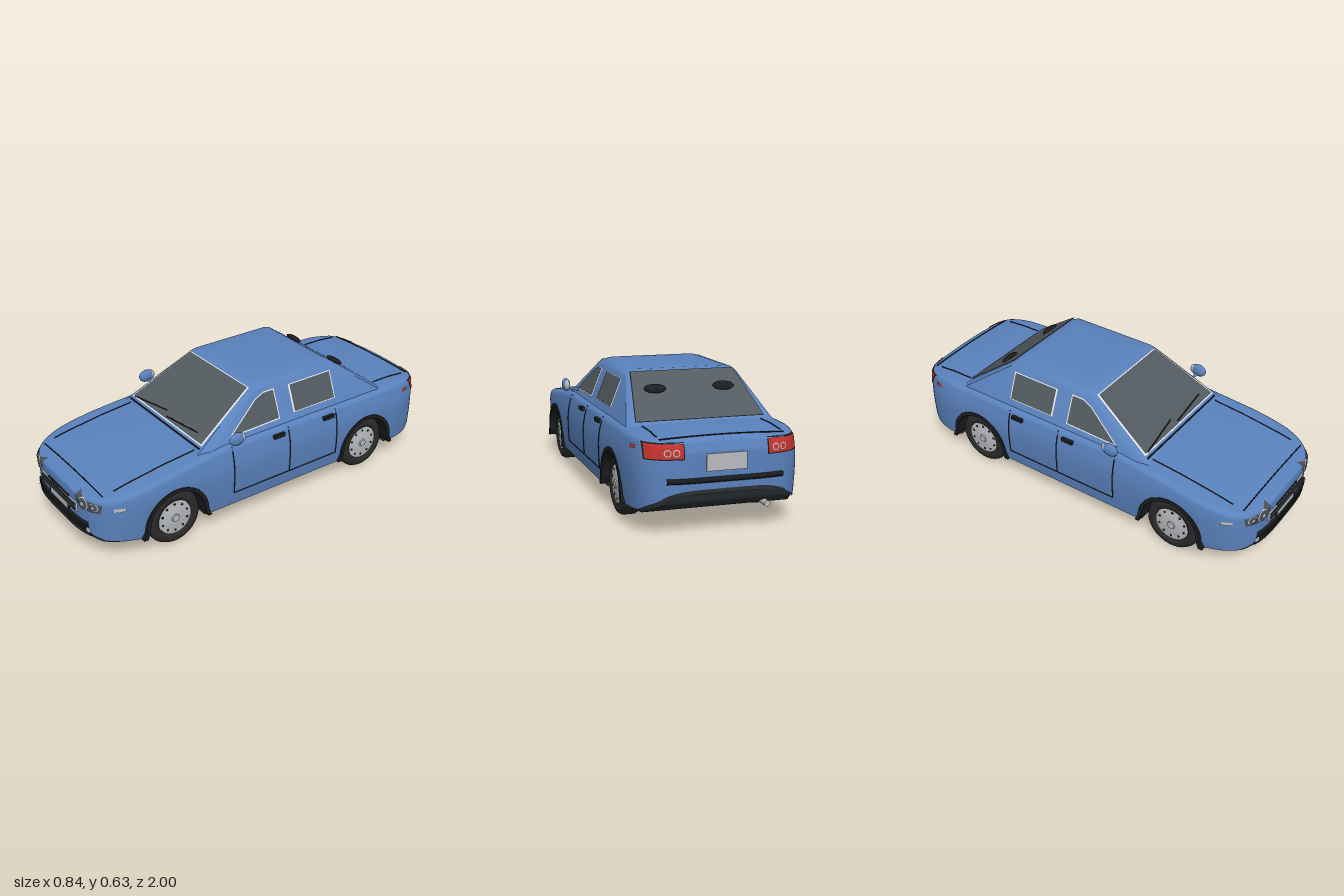
import * as THREE from 'three';
import { toCreasedNormals } from 'three/addons/utils/BufferGeometryUtils.js';

const mat = (name, color) => new THREE.MeshStandardMaterial({ name, color, side: THREE.DoubleSide });
const BODY = mat('blue paint', 0x5a82bd), GLASS = mat('tinted glass', 0x535b60), BLACK = mat('black trim', 0x1b1d1f),
  TYRE = mat('tyre rubber', 0x2b2b2b), UNDER = mat('underside', 0x2d3236), SILVER = mat('silver', 0xb9bcbf),
  WHITE = mat('white trim', 0xf0f0f0), RED = mat('red lens', 0xc8322c), LAMP = mat('lamp housing', 0x4a5055);

const WHEELS = [0.59, -0.57], AXLE = 0.14, ARCH = 0.168;

// Piecewise linear curve through [u, v] knots
function interp(k, u) {
  if (u <= k[0][0]) return k[0][1];
  for (let i = 1; i < k.length; i++)
    if (u <= k[i][0]) return k[i - 1][1] + (k[i][1] - k[i - 1][1]) * (u - k[i - 1][0]) / (k[i][0] - k[i - 1][0]);
  return k[k.length - 1][1];
}

// Body form: centre height, sill height, plan half-width and side bulge
const TOP = [[-0.99, 0.36], [-0.975, 0.405], [-0.93, 0.42], [-0.8, 0.43], [0.3, 0.43], [0.4, 0.42], [0.6, 0.4],
  [0.8, 0.37], [0.92, 0.345], [0.97, 0.335], [0.985, 0.328], [0.99, 0.31]];
const SILL = [[-0.99, 0.2], [-0.96, 0.15], [-0.88, 0.105], [-0.75, 0.1], [0.75, 0.1], [0.93, 0.12], [0.97, 0.14], [0.99, 0.17]];
const topAt = z => interp(TOP, z), sillAt = z => interp(SILL, z);
const power = z => (z > 0 ? 4 : 5);
const plan = z => {
  const s = Math.min(1, Math.max(0, (Math.abs(z) - 0.5) / 0.49)), n = power(z);
  return 0.39 * Math.pow(1 - Math.pow(s, n), 1 / n);
};
const bulge = y => (y > 0.28 ? 1 - 0.08 * ((y - 0.28) / 0.15) ** 2 : 1 - 0.03 * ((0.28 - y) / 0.18) ** 2);
function halfWidth(y, z) {
  const T = topAt(z), S = T - 0.04, E = plan(z) * bulge(S);
  if (y >= T) return 0;
  if (y < S) return plan(z) * bulge(y);
  if (y < T - 0.01) return E * (0.9 + 0.1 * Math.sqrt(1 - ((y - S) / 0.03) ** 2));
  return E * 0.9 * Math.sqrt((T - y) / 0.01);
}
// Point on the nose (e = 1) or tail (e = -1) surface
function endZ(x, y, e) {
  let a = 0.4, b = 0.99;
  for (let i = 0; i < 30; i++) {
    const m = (a + b) / 2;
    if (halfWidth(y, e * m) > Math.abs(x)) a = m; else b = m;
  }
  return e * a;
}
const bonnetY = (x, z) => topAt(z) - 0.01 * Math.min(1, x / 0.33) ** 2;

function loft(rows) {
  const n = rows[0].length, idx = [];
  for (let i = 0; i < rows.length - 1; i++)
    for (let j = 0; j < n - 1; j++) {
      const a = i * n + j, c = a + n;
      idx.push(a, a + 1, c, a + 1, c + 1, c);
    }
  const g = new THREE.BufferGeometry();
  g.setAttribute('position', new THREE.Float32BufferAttribute(rows.flat(2), 3));
  g.setIndex(idx);
  g.computeVertexNormals();
  return g;
}

export function createModel() {
  const car = new THREE.Group();
  car.name = 'car';
  const add = (name, geo, m, x = 0, y = 0, z = 0, parent = car) => {
    const o = new THREE.Mesh(geo, m);
    o.name = name;
    o.position.set(x, y, z);
    parent.add(o);
    return o;
  };
  const box = (name, m, w, h, d, x, y, z) => add(name, new THREE.BoxGeometry(w, h, d), m, x, y, z);
  const line = (name, pts, m = BLACK, r = 0.003) => {
    const path = new THREE.CurvePath(), v = pts.map(p => new THREE.Vector3(...p));
    for (let i = 1; i < v.length; i++) path.add(new THREE.LineCurve3(v[i - 1], v[i]));
    return add(name, new THREE.TubeGeometry(path, Math.max(2, (v.length - 1) * 2), r, 6), m);
  };
  // Thin skin laid over a curved surface, between two edge curves
  const patch = (name, m, u0, u1, lo, hi, place, n = 14) => {
    const rows = [];
    for (let i = 0; i <= n; i++) {
      const u = u0 + (u1 - u0) * i / n, row = [];
      for (let j = 0; j <= 6; j++) row.push(place(u, lo(u) + (hi(u) - lo(u)) * j / 6));
      rows.push(row);
    }
    return add(name, loft(rows), m);
  };
  const onEnd = (e, s, off) => (x, y) => [s * x, y, endZ(x, y, e) + e * off];
  const onSide = (s, off) => (z, y) => [s * (halfWidth(y, z) + off), y, z];
  const disc = (name, m, cx, cy, r, place) => {
    const h = x => Math.sqrt(Math.max(0, r * r - (x - cx) ** 2));
    patch(name, m, cx - r, cx + r, x => cy - h(x), x => cy + h(x), place, 16);
  };
  const sides = fn => [1, -1].forEach(fn);

  // Lower body shell, with wheel arches cut into the sill line
  let zs = TOP.map(k => k[0]).concat([-0.2, 0, 0.15]);
  for (let i = 0; i <= 18; i++) {
    const t = Math.sin(i / 18 * Math.PI / 2);
    zs.push(0.5 + 0.49 * Math.pow(t, 2 / 4), -0.5 - 0.49 * Math.pow(t, 2 / 5));
  }
  for (const c of WHEELS) {
    for (let i = 0; i <= 24; i++) zs.push(c + ARCH * Math.cos(i / 24 * Math.PI));
    zs.push(c - ARCH - 0.0002, c + ARCH + 0.0002);
  }
  zs = [...new Set(zs)].sort((a, b) => a - b);
  const nearWheel = z => WHEELS.find(c => Math.abs(z - c) <= ARCH + 0.00001);
  const section = z => {
    const c = nearWheel(z), T = topAt(z), S = T - 0.04, E = plan(z) * bulge(S), half = [];
    const yb = c === undefined ? sillAt(z) : AXLE + Math.sqrt(Math.max(0, ARCH ** 2 - (z - c) ** 2));
    for (let i = 0; i < 9; i++) {
      const y = yb + (S - yb) * i / 9;
      half.push([plan(z) * bulge(y), y, z]);
    }
    for (let i = 0; i <= 5; i++) {
      const a = i / 5 * Math.PI / 2;
      half.push([E * (0.9 + 0.1 * Math.cos(a)), S + 0.03 * Math.sin(a), z]);
    }
    for (const f of [0.75, 0.5, 0.25]) half.push([E * 0.9 * f, T - 0.01 * f * f, z]);
    return [...half, [0, T, z], ...half.slice().reverse().map(p => [-p[0], p[1], z])];
  };
  add('body shell', loft(zs.map(section)), BODY);

  // Underside, narrowed between the wheels
  add('underside', toCreasedNormals(loft(zs.map(z => {
    const y = sillAt(z), w = nearWheel(z) === undefined ? plan(z) * 0.96 : 0.255;
    return [[-w, y + 0.01, z], [-w * 0.95, y - 0.015, z], [w * 0.95, y - 0.015, z], [w, y + 0.01, z]];
  })), 0.5), UNDER);

  // Cabin: stacked rings that follow the raked glass planes
  const sideX = y => 0.345 - 0.4 * (y - 0.42), frontZ = y => 0.4 - 1.7 * (y - 0.43), rearZ = y => -0.68 + 1.4 * (y - 0.43);
  const ring = ([y, ix, iz]) => {
    const p = Math.min(y, 0.622), x = Math.max(0, sideX(p) - ix), xi = Math.max(0, x - 0.02), f = frontZ(p) - iz, r = rearZ(p) + iz;
    const c = Math.min(0.06, 0.02 + (0.64 - p) * 0.2);
    return [[x, y, f - c], [x, y, r + 0.02], [xi, y, r], [-xi, y, r], [-x, y, r + 0.02], [-x, y, f - c], [-xi, y, f], [xi, y, f], [x, y, f - c]];
  };
  add('cabin', toCreasedNormals(loft([[0.4, 0, 0], [0.605, 0, 0], [0.622, 0.008, 0], [0.63, 0.04, 0.015],
    [0.633, 0.14, 0.07], [0.634, 0.3, 0.12]].map(ring)), 0.6), BODY);

  // Flat glass plates with optional trim behind
  const plate = (name, pts, m, off, scale = 1) => {
    const v = pts.map(p => new THREE.Vector3(...p)), mid = new THREE.Vector3();
    v.forEach(p => mid.addScaledVector(p, 1 / v.length));
    const n = v[1].clone().sub(v[0]).cross(v[2].clone().sub(v[0])).normalize();
    if (n.dot(mid.clone().sub(new THREE.Vector3(0, 0.45, -0.15))) < 0) n.negate();
    const rim = v.map(p => p.clone().sub(mid).multiplyScalar(scale).add(mid).addScaledVector(n, off).toArray());
    const hub = mid.clone().addScaledVector(n, off).toArray();
    add(name, loft([[...rim, rim[0]], Array(rim.length + 1).fill(hub)]), m);
  };
  const framed = (name, pts, trim, scale) => {
    plate(name + ' trim', pts, trim, 0.003, scale);
    plate(name, pts, GLASS, 0.006);
  };
  const cross = (y0, x0, y1, x1, fz) => [[-x0, y0, fz(y0)], [x0, y0, fz(y0)], [x1, y1, fz(y1)], [-x1, y1, fz(y1)]];
  framed('windscreen', cross(0.432, 0.302, 0.612, 0.243, frontZ), WHITE, 1.03);
  framed('rear window', cross(0.435, 0.3, 0.618, 0.25, rearZ), BLACK, 1.015);
  sides(s => {
    const onPlane = p => p.map(([z, y]) => [s * sideX(y), y, z]);
    framed('front side window', onPlane([[0.25, 0.447], [0.08, 0.565], [0.03, 0.583], [-0.03, 0.583], [-0.03, 0.452]]), WHITE, 1.08);
    framed('rear side window', onPlane([[-0.13, 0.455], [-0.13, 0.58], [-0.38, 0.58], [-0.38, 0.455]]), WHITE, 1.06);
  });

  // Wipers, cowl and rear window lamps
  for (const [a, b, c, d] of [[-0.285, 0.437, -0.035, 0.457], [-0.01, 0.443, 0.23, 0.456]])
    line('wiper', [[a, b, frontZ(b) + 0.012], [c, d, frontZ(d) + 0.012]]);
  box('cowl', BLACK, 0.62, 0.008, 0.012, 0, 0.42, 0.412);
  sides(s => {
    const o = add('rear window lamp', new THREE.SphereGeometry(1, 16, 10), BLACK, s * 0.165, 0.555, -0.522);
    o.scale.set(0.052, 0.015, 0.027);
    o.rotation.x = -0.62;
  });

  // Panel gaps on bonnet, boot and doors
  const seam = (x0, z0, x1, z1) => line('panel gap', Array.from({ length: 9 }, (_, i) => {
    const x = x0 + (x1 - x0) * i / 8, z = z0 + (z1 - z0) * i / 8;
    return [x, bonnetY(Math.abs(x), z) + 0.001, z];
  }));
  seam(-0.285, 0.915, 0.285, 0.915);
  seam(-0.28, -0.935, 0.28, -0.935);
  sides(s => {
    seam(s * 0.287, 0.42, s * 0.287, 0.86);
    seam(s * 0.28, -0.7, s * 0.28, -0.9);
    const P = onSide(s, 0);
    for (const z of [0.27, -0.065, -0.365])
      line('door gap', Array.from({ length: 9 }, (_, i) => P(z, 0.165 + 0.245 * i / 8)));
    line('door sill gap', [P(0.27, 0.165), P(-0.365, 0.165)]);
    for (const z of [0, -0.31]) box('door handle', BLACK, 0.02, 0.018, 0.064, s * (halfWidth(0.385, z) + 0.004), 0.385, z);
    patch('front side marker', SILVER, 0.845, 0.895, () => 0.28, () => 0.298, onSide(s, 0.005));
    patch('rear side marker', RED, -0.865, -0.825, () => 0.366, () => 0.382, onSide(s, 0.005));

    // Door mirror
    line('mirror stalk', [[s * 0.325, 0.435, 0.25], [s * 0.395, 0.452, 0.265]], BODY, 0.008);
    add('mirror shell', new THREE.SphereGeometry(1, 20, 14), BODY, s * 0.4, 0.466, 0.265).scale.set(0.02, 0.033, 0.042);
    add('mirror glass', new THREE.SphereGeometry(1, 16, 10), SILVER, s * 0.4, 0.466, 0.236).scale.set(0.015, 0.025, 0.018);

    // Headlamps and fog lamps
    patch('headlamp', LAMP, 0.165, 0.31, x => interp([[0.165, 0.3], [0.2, 0.267], [0.305, 0.267], [0.31, 0.3]], x),
      x => interp([[0.165, 0.335], [0.25, 0.316], [0.31, 0.312]], x), onEnd(1, s, 0.004), 20);
    for (const [x, r] of [[0.218, 0.031], [0.277, 0.021]]) {
      disc('lamp ring', SILVER, x, 0.295, r, onEnd(1, s, 0.006));
      disc('lamp lens', LAMP, x, 0.295, r * 0.88, onEnd(1, s, 0.008));
      disc('lamp bulb', SILVER, x, 0.295, r * 0.3, onEnd(1, s, 0.01));
    }
    disc('fog lamp', SILVER, 0.247, 0.166, 0.014, onEnd(1, s, 0.012));

    // Tail lamps
    patch('tail lamp surround', BLACK, 0.185, 0.345, () => 0.332, () => 0.403, onEnd(-1, s, 0.003), 20);
    patch('tail lamp', RED, 0.19, 0.341, () => 0.337, () => 0.398, onEnd(-1, s, 0.006), 20);
    for (const x of [0.222, 0.258]) {
      disc('tail lamp ring', SILVER, x, 0.362, 0.016, onEnd(-1, s, 0.008));
      disc('tail lamp centre', RED, x, 0.362, 0.011, onEnd(-1, s, 0.0095));
    }
  });

  // Grille, number plates and bumper bars
  box('grille frame', SILVER, 0.34, 0.048, 0.02, 0, 0.251, 0.985);
  box('grille back', BLACK, 0.32, 0.036, 0.02, 0, 0.251, 0.987);
  for (const y of [0.241, 0.251, 0.261]) box('grille bar', LAMP, 0.316, 0.006, 0.02, 0, y, 0.99);
  box('grille top strip', BLACK, 0.2, 0.008, 0.02, 0, 0.278, 0.985);
  box('front plate holder', BLACK, 0.19, 0.038, 0.02, 0, 0.212, 0.983);
  box('front plate', SILVER, 0.165, 0.032, 0.02, 0, 0.214, 0.985);
  box('rear plate', SILVER, 0.18, 0.075, 0.012, 0, 0.315, -0.989);
  const bar = (name, w, y, e, r) => line(name, Array.from({ length: 17 }, (_, i) => {
    const x = w * (i / 8 - 1);
    return [x, y, endZ(x, y, e)];
  }), BLACK, r);
  for (const y of [0.163, 0.177, 0.191]) bar('front bumper bar', 0.24, y, 1, 0.0095);
  bar('front lower lip', 0.25, 0.137, 1, 0.007);
  bar('rear bumper bar', 0.26, 0.24, -1, 0.012);
  add('exhaust', new THREE.CylinderGeometry(0.014, 0.014, 0.12, 16), SILVER, -0.2, 0.107, -0.905).rotation.x = Math.PI / 2;

  // Wheels and arch liners
  const outer = new THREE.Shape().moveTo(0.187, -0.04).lineTo(0.17, 0).absarc(0, 0, 0.17, 0, Math.PI).lineTo(-0.187, -0.04);
  const liner = outer.clone().lineTo(-0.165, -0.04).lineTo(-0.15, 0).absarc(0, 0, 0.15, Math.PI, 0, true).lineTo(0.165, -0.04);
  const lathe = pts => new THREE.LatheGeometry(pts.map(p => new THREE.Vector2(...p)), 40);
  const tyre = lathe([[0.086, -0.047], [0.115, -0.047], [0.132, -0.04], [0.14, -0.025], [0.14, 0.025], [0.132, 0.04], [0.115, 0.047], [0.092, 0.047], [0.088, 0.03]]);
  const rim = lathe([[0.09, 0.03], [0.088, 0.043], [0.078, 0.04], [0.06, 0.043], [0.03, 0.047], [0, 0.048]]);
  const hole = new THREE.CylinderGeometry(0.006, 0.006, 0.006, 10);
  for (const z of WHEELS) sides(s => {
    const arch = add('wheel arch liner', new THREE.ExtrudeGeometry(liner, { depth: 0.138, bevelEnabled: false, curveSegments: 24 }), BLACK, s > 0 ? 0.255 : -0.393, AXLE, z);
    const wall = add('wheel well wall', new THREE.ShapeGeometry(outer, 24), BLACK, s * 0.258, AXLE, z);
    arch.rotation.y = wall.rotation.y = Math.PI / 2;
    const wheel = new THREE.Group();
    wheel.name = 'wheel';
    wheel.position.set(s * 0.318, AXLE, z);
    wheel.rotation.z = -s * Math.PI / 2;
    car.add(wheel);
    add('tyre', tyre, TYRE, 0, 0, 0, wheel);
    add('rim', rim, SILVER, 0, 0, 0, wheel);
    add('wheel back', new THREE.CylinderGeometry(0.09, 0.09, 0.01, 32), LAMP, 0, -0.03, 0, wheel);
    for (let i = 0; i < 10; i++) {
      const a = i / 10 * Math.PI * 2;
      add('rim hole', hole, BLACK, 0.07 * Math.cos(a), 0.0405, 0.07 * Math.sin(a), wheel);
    }
    add('hub cap', new THREE.CylinderGeometry(0.018, 0.022, 0.008, 20), SILVER, 0, 0.049, 0, wheel);
  });
  return car;
}
